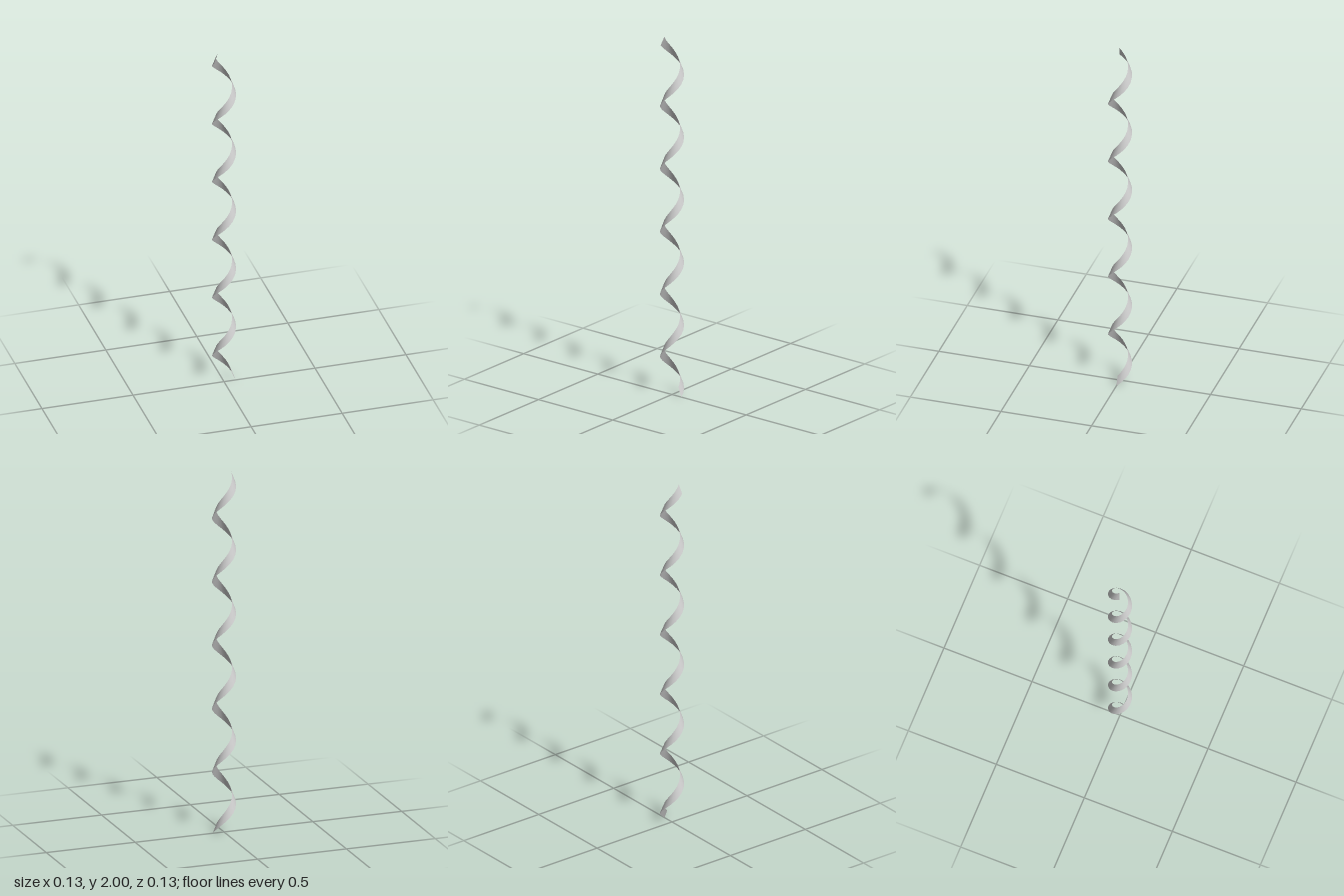
import * as THREE from 'three';

// Helical ribbon: a thin strip whose inner edge sits higher than its outer edge
const STEPS = 100;
const STEP_ANGLE = THREE.MathUtils.degToRad(20);
const OUTER = 0.0637, INNER = 0.0425;
const STRIP_RISE = 0.05;
const CLIMB = 2 - STRIP_RISE;

function helicalStrip() {
  // u runs along the helix, v runs from outer (0) to inner (1) edge
  const geometry = new THREE.PlaneGeometry(1, 1, STEPS, 1);
  const p = geometry.attributes.position;
  for (let i = 0; i < p.count; i++) {
    const u = p.getX(i) + 0.5;
    const v = p.getY(i) + 0.5;
    const angle = u * STEPS * STEP_ANGLE;
    const r = THREE.MathUtils.lerp(OUTER, INNER, v);
    p.setXYZ(i, r * Math.cos(angle), u * CLIMB + v * STRIP_RISE, -r * Math.sin(angle));
  }
  geometry.computeVertexNormals();
  return geometry;
}

export function createModel() {
  const group = new THREE.Group();
  group.name = 'spiralRibbon';
  const material = new THREE.MeshStandardMaterial({ color: 0xcccccc, side: THREE.DoubleSide });
  const ribbon = new THREE.Mesh(helicalStrip(), material);
  ribbon.name = 'ribbon';
  group.add(ribbon);
  return group;
}
